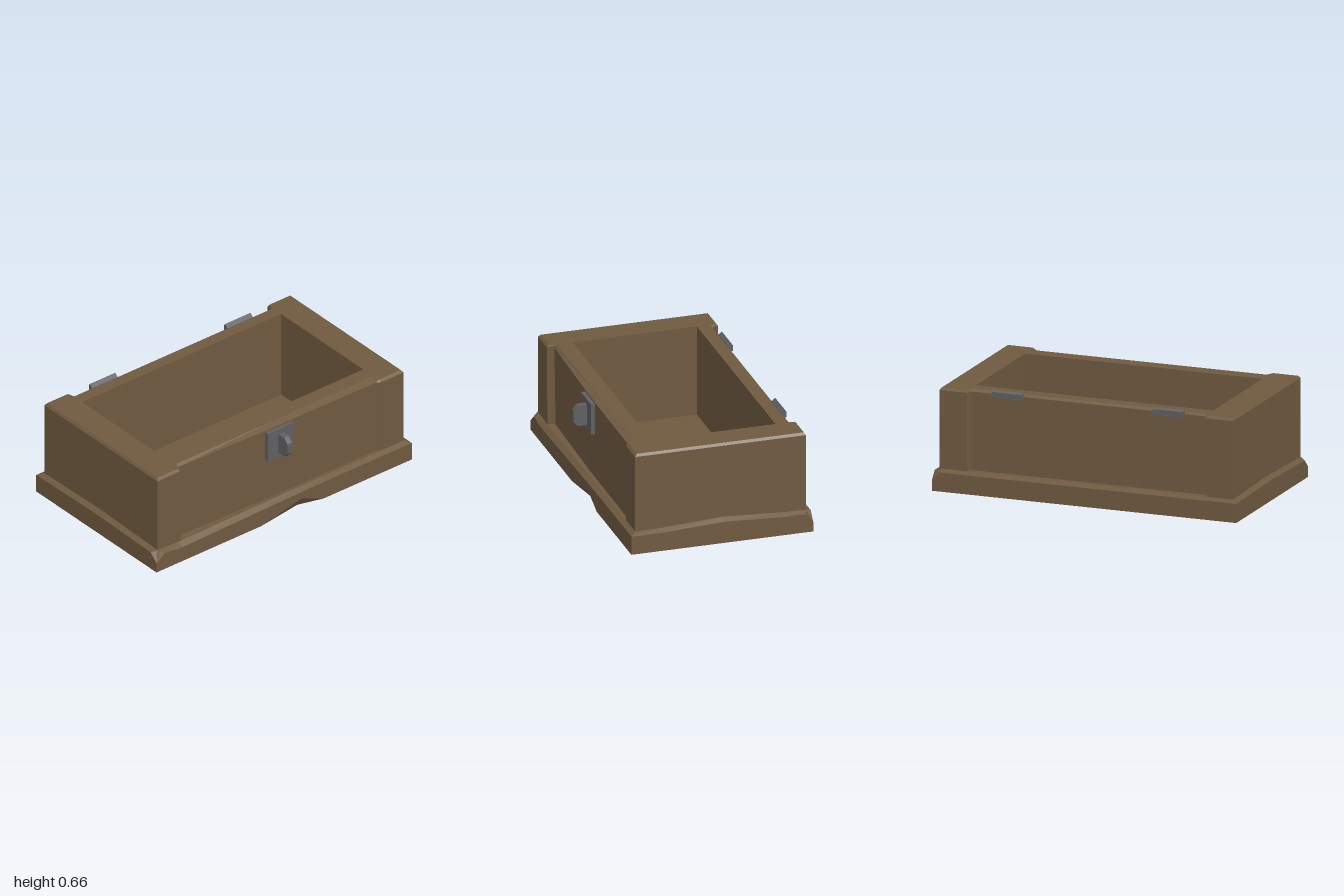
import * as THREE from 'three';

const wood = new THREE.MeshStandardMaterial({ color: 0x6f5a40 });
wood.name = 'brown wood';
const iron = new THREE.MeshStandardMaterial({ color: 0x606062 });
iron.name = 'grey iron';

// Joins rings of [x, y, z] points (counter-clockwise from above) into a flat-shaded skin.
function loft(rings, capFirst, capLast) {
  const n = rings[0].length;
  const out = [];
  const tri = (a, b, c) => out.push(...a, ...b, ...c);
  for (let r = 0; r < rings.length - 1; r++) {
    for (let i = 0; i < n; i++) {
      const j = (i + 1) % n;
      const [a, b, c, d] = [rings[r][i], rings[r][j], rings[r + 1][j], rings[r + 1][i]];
      tri(a, b, c);
      tri(a, c, d);
    }
  }
  const cap = (ring, up) => {
    const centre = [0, ring[0][1], 0];
    ring.forEach((p, i) => {
      const q = ring[(i + 1) % n];
      if (up) tri(centre, p, q);
      else tri(centre, q, p);
    });
  };
  if (capFirst) cap(rings[0], false);
  if (capLast) cap(rings[rings.length - 1], true);
  const g = new THREE.BufferGeometry();
  g.setAttribute('position', new THREE.Float32BufferAttribute(out, 3));
  g.computeVertexNormals();
  return g;
}

// Extrudes a [z, y] profile along x, centred.
function sideProfile(points, width) {
  const shape = new THREE.Shape(points.map(([z, y]) => new THREE.Vector2(-z, y)));
  const g = new THREE.ExtrudeGeometry(shape, { depth: width, bevelEnabled: false });
  g.translate(0, 0, -width / 2);
  g.rotateY(Math.PI / 2);
  return g;
}

function add(group, name, geometry, material, x = 0) {
  const m = new THREE.Mesh(geometry, material);
  m.name = name;
  m.position.x = x;
  group.add(m);
  return m;
}

// Worn plinth: x, z, shoulder height, top edge height
function plinthGeometry() {
  const outline = [
    [-1, 0.557, 0.065, 0.13], [-0.94, 0.557, 0.115, 0.13], [-0.8, 0.557, 0.10, 0.125],
    [-0.18, 0.557, 0.112, 0.134], [0.14, 0.557, 0.117, 0.136], [0.31, 0.557, 0.12, 0.136],
    [1, 0.557, 0.12, 0.136], [1, 0.37, 0.12, 0.138], [1, -0.03, 0.14, 0.16],
    [1, -0.43, 0.12, 0.138], [1, -0.56, 0.12, 0.136], [1, -0.606, 0.065, 0.134],
    [0.95, -0.606, 0.12, 0.136], [-1, -0.606, 0.12, 0.136],
    [-1, -0.05, 0.13, 0.148], [-1, 0.5, 0.118, 0.132],
  ];
  const chip = 4; // gouge in the front lower edge
  const topX = (x) => Math.max(-0.967, Math.min(0.967, x));
  const topZ = (z) => Math.max(-0.573, Math.min(0.524, z));
  return loft([
    outline.map(([x, z], i) => [x, 0, i === chip ? 0.51 : z]),
    outline.map(([x, z], i) => [x, i === chip ? 0.07 : 0, z]),
    outline.map(([x, z, y]) => [x, y, z]),
    outline.map(([x, z, , y]) => [topX(x), y, topZ(z)]),
    outline.map(([x, z]) => [topX(x) * 0.9, 0.134, topZ(z) * 0.85]),
  ], true, false);
}

// Hollow box with proud corner posts and chamfered rim
function boxGeometry() {
  const foot = [
    [-0.965, 0.522], [-0.775, 0.522], [-0.75, 0.478], [0, 0.5], [0.76, 0.504], [0.78, 0.522], [0.965, 0.522],
    [0.965, -0.57], [0.785, -0.57], [0.77, -0.53], [-0.77, -0.53], [-0.785, -0.57], [-0.965, -0.57],
  ];
  const shoulder = foot.map((p) => [...p]);
  shoulder[1][0] = -0.79;
  shoulder[2][0] = -0.775;
  const rim = [
    [-0.953, 0.508], [-0.79, 0.508], [-0.765, 0.46], [0, 0.458], [0.77, 0.455], [0.79, 0.508], [0.953, 0.508],
    [0.953, -0.56], [0.79, -0.56], [0.775, -0.515], [-0.775, -0.515], [-0.79, -0.56], [-0.953, -0.56],
  ];
  const mouth = rim.map(([x, z]) => [Math.max(-0.78, Math.min(0.78, x)), z > 0 ? 0.36 : -0.435]);
  const at = (ring, y) => ring.map(([x, z]) => [x, y, z]);
  return loft([
    at(foot, 0.1), at(shoulder, 0.63), at(rim, 0.645), at(mouth, 0.645), at(mouth, 0.06),
  ], false, true);
}

export function createModel() {
  const model = new THREE.Group();
  model.name = 'openChest';
  add(model, 'plinth', plinthGeometry(), wood);
  add(model, 'box', boxGeometry(), wood);

  // Front lock: plate and staple
  const plate = add(model, 'lockPlate', new THREE.BoxGeometry(0.2, 0.2, 0.036), iron);
  plate.position.set(0, 0.52, 0.507);
  add(model, 'lockStaple', sideProfile([
    [0.52, 0.45], [0.582, 0.45], [0.61, 0.482], [0.61, 0.552], [0.58, 0.585], [0.52, 0.585],
  ], 0.036), iron);

  // Hinge leaves on the back rim
  for (const side of [-1, 1]) {
    add(model, side > 0 ? 'leftHinge' : 'rightHinge', sideProfile([
      [-0.522, 0.64], [-0.545, 0.66], [-0.554, 0.648], [-0.554, 0.612], [-0.528, 0.612],
    ], 0.2), iron, side * 0.53);
  }
  return model;
}
